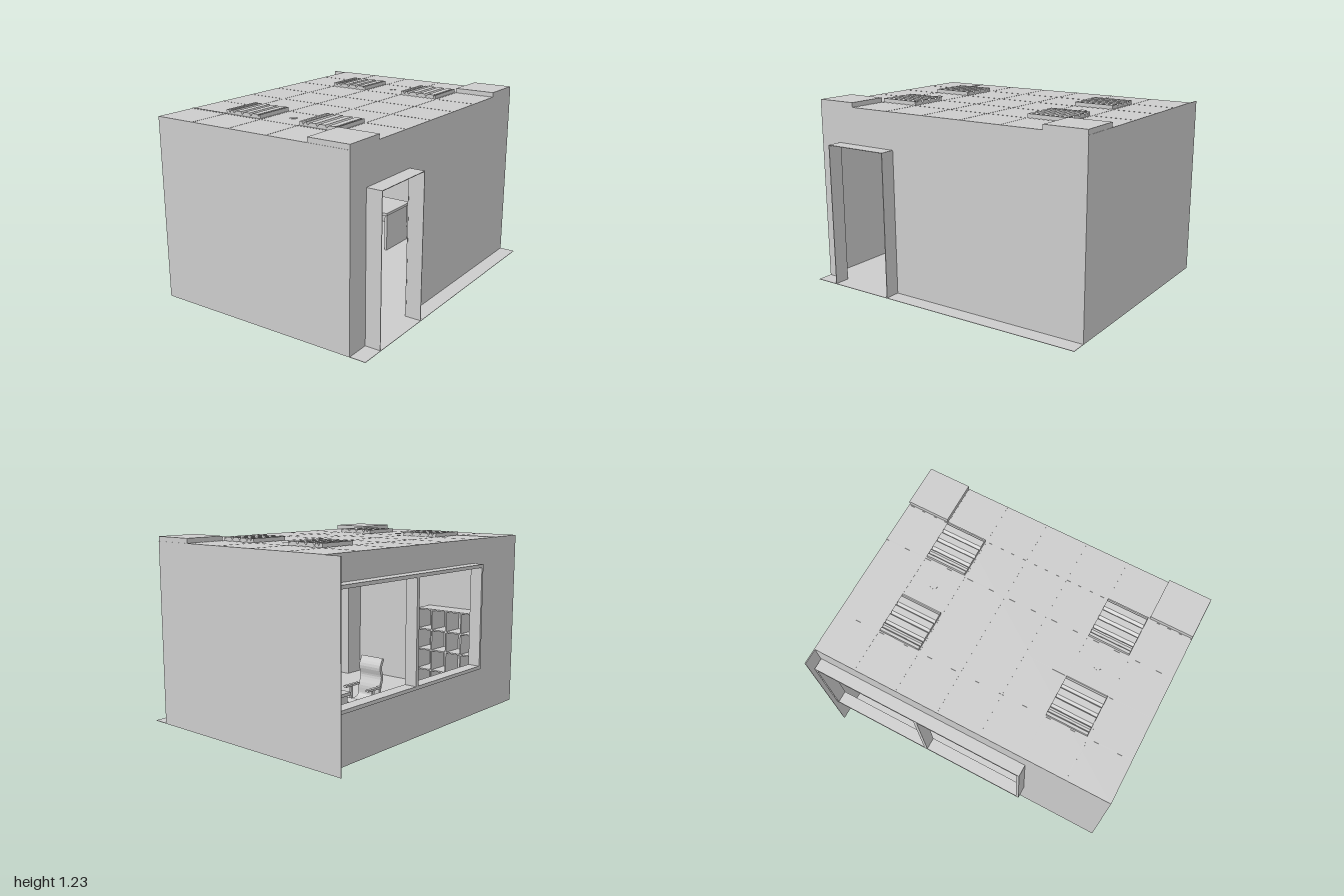
import * as THREE from 'three';

const mat = new THREE.MeshStandardMaterial({ color: 0xcccccc, flatShading: true, side: THREE.DoubleSide });

export function createModel() {
  const root = new THREE.Group();
  const T = 0.006; // panel thickness

  function add(name, geo, parent = root) {
    const m = new THREE.Mesh(geo, mat);
    m.name = name;
    parent.add(m);
    return m;
  }
  function group(name) {
    const g = new THREE.Group();
    g.name = name;
    root.add(g);
    return g;
  }
  // Box given by its extents on each axis
  function box(name, x0, x1, y0, y1, z0, z1, parent) {
    const g = new THREE.BoxGeometry(x1 - x0, y1 - y0, z1 - z0);
    g.translate((x0 + x1) / 2, (y0 + y1) / 2, (z0 + z1) / 2);
    return add(name, g, parent);
  }
  const rect = (C, a0, a1, b0, b1) => new C([
    new THREE.Vector2(a0, b0), new THREE.Vector2(a1, b0),
    new THREE.Vector2(a1, b1), new THREE.Vector2(a0, b1)]);
  // Side panel in the z-y plane with rectangular openings, spanning x0..x1
  function sidePanel(name, x0, x1, outer, holes) {
    const s = rect(THREE.Shape, ...outer);
    holes.forEach(h => s.holes.push(rect(THREE.Path, ...h)));
    const g = new THREE.ExtrudeGeometry(s, { depth: x1 - x0, bevelEnabled: false });
    g.rotateY(-Math.PI / 2).translate(x1, 0, 0);
    return add(name, g);
  }

  // Room shell
  box('floor', -0.71, 0.815, 0, 0.003, -1, 1);
  box('frontWall', -0.71, 0.71, 0, 1.197, 1 - T, 1);
  box('backWall', -0.815, 0.71, 0, 1.197, -1, -1 + T);
  box('ceiling', -0.71, 0.71, 1.194, 1.199, -1, 1);
  const windowHoles = [[-0.975, -0.282, 0.362, 1.018], [-0.258, 0.432, 0.362, 1.018]];
  sidePanel('windowWall', -0.71, -0.71 + T, [-1, 1, 0, 1.197], [[-0.975, 0.432, 0.362, 1.018]]);
  sidePanel('windowFrame', -0.787, -0.705, [-0.99, 0.45, 0.34, 1.04], windowHoles);
  sidePanel('doorWall', 0.71 - T, 0.71, [-1, 1, 0, 1.197], [[0.388, 0.84, 0.003, 0.953]]);

  // Doorway lining standing out from the wall
  const door = group('doorFrame');
  box('doorJambBack', 0.705, 0.812, 0, 0.957, 0.382, 0.387, door);
  box('doorJambFront', 0.705, 0.812, 0, 0.957, 0.838, 0.843, door);
  box('doorHead', 0.705, 0.812, 0.953, 0.957, 0.382, 0.843, door);

  // Ceiling grid rails
  const grid = group('ceilingGrid');
  const px = 1.42 / 5, pz = 2 / 7, r = 0.003;
  for (let i = 1; i < 5; i++) {
    const x = -0.71 + i * px;
    box('railLong', x - r, x + r, 1.19, 1.2, -1, 1, grid);
  }
  for (let j = 1; j < 7; j++) {
    const z = -1 + j * pz;
    box('railCross', -0.71, 0.71, 1.19, 1.2, z - r, z + r, grid);
  }
  box('railEnd', -0.71, -0.42, 1.19, 1.202, 0.703, 0.712, grid);

  // Louvred ceiling lights, a grooved profile run along z
  const prof = new THREE.Shape();
  prof.moveTo(0, 0).lineTo(0, 0.025).lineTo(0.018, 0.025);
  for (const a of [0.018, 0.05, 0.118, 0.186]) {
    const w = a < 0.02 ? 0.028 : 0.034;
    prof.lineTo(a, 0.025).lineTo(a + 0.01, 0.008).lineTo(a + w - 0.008, 0.025);
  }
  prof.lineTo(0.255, 0.025).lineTo(0.258, 0.008).lineTo(0.264, 0.025);
  prof.lineTo(0.272, 0.025).lineTo(0.272, 0);
  for (const x of [-0.42, 0.15]) for (const z of [-0.705, 0.433]) {
    const g = new THREE.ExtrudeGeometry(prof, { depth: 0.272, bevelEnabled: false });
    add('ceilingLight', g.translate(x, 1.2, z));
  }

  // Corner vent boxes and small ceiling fittings
  for (const s of [-1, 1]) {
    box('ventBox', 0.43, 0.71, 1.192, 1.23, s < 0 ? -0.998 : 0.715, s < 0 ? -0.715 : 0.998);
    add('sprinkler', new THREE.CylinderGeometry(0.025, 0.025, 0.012, 16).translate(0, 1.195, s * 0.57));
  }

  // Open shelving against the front wall
  const shelf = group('shelving');
  const X0 = -0.65, X1 = 0, H = 0.63, Z0 = 0.82, Z1 = 0.985, t = 0.01;
  for (let i = 0; i <= 5; i++) {
    const x = X0 + (X1 - X0 - t) * i / 5;
    box('upright', x, x + t, 0, H, Z0, Z1, shelf);
  }
  for (let j = 0; j <= 4; j++) {
    const y = 0.003 + (H - 0.003 - t) * j / 4;
    box('shelfBoard', X0, X1, y, y + t, Z0, Z1, shelf);
  }

  // Desk
  const desk = group('desk');
  box('deskTop', -0.42, 0.04, 0.28, 0.3, -0.78, -0.45, desk);
  for (const x of [-0.41, 0.01]) {
    box('deskSide', x, x + 0.02, 0, 0.28, -0.76, -0.47, desk);
  }

  // Chair with a curved seat and back, swept across its width
  const chair = group('chair');
  const line = new THREE.CatmullRomCurve3([
    [-0.10, 0.19], [-0.06, 0.2], [0.03, 0.185], [0.075, 0.21], [0.08, 0.27],
    [0.10, 0.34], [0.085, 0.4], [0.11, 0.46]].map(p => new THREE.Vector3(p[0], p[1], 0)));
  const pts = line.getPoints(28);
  const side = d => pts.map((p, i) => {
    const tan = line.getTangent(i / 28);
    return new THREE.Vector2(p.x - tan.y * d, p.y + tan.x * d);
  });
  const chairShape = new THREE.Shape([...side(0.01), ...side(-0.01).reverse()]);
  const seat = new THREE.ExtrudeGeometry(chairShape, { depth: 0.17, bevelEnabled: false });
  add('chairShell', seat.rotateY(-Math.PI / 2).translate(0.085, 0, 0), chair);
  add('chairPost', new THREE.CylinderGeometry(0.012, 0.012, 0.16, 10).translate(0, 0.11, 0), chair);
  for (let i = 0; i < 5; i++) {
    const leg = new THREE.BoxGeometry(0.09, 0.014, 0.018).translate(0.045, 0.035, 0);
    add('chairLeg', leg.rotateY(i * Math.PI * 0.4), chair);
    const wheel = new THREE.SphereGeometry(0.014, 8, 6).translate(0.085, 0.017, 0);
    add('caster', wheel.rotateY(i * Math.PI * 0.4), chair);
  }
  for (const s of [-1, 1]) {
    box('armPost', s * 0.09 - 0.006, s * 0.09 + 0.006, 0.19, 0.28, -0.01, 0.01, chair);
    box('armRest', s * 0.09 - 0.012, s * 0.09 + 0.012, 0.275, 0.288, -0.06, 0.07, chair);
  }
  chair.position.set(-0.35, 0, -0.26);

  return root;
}
